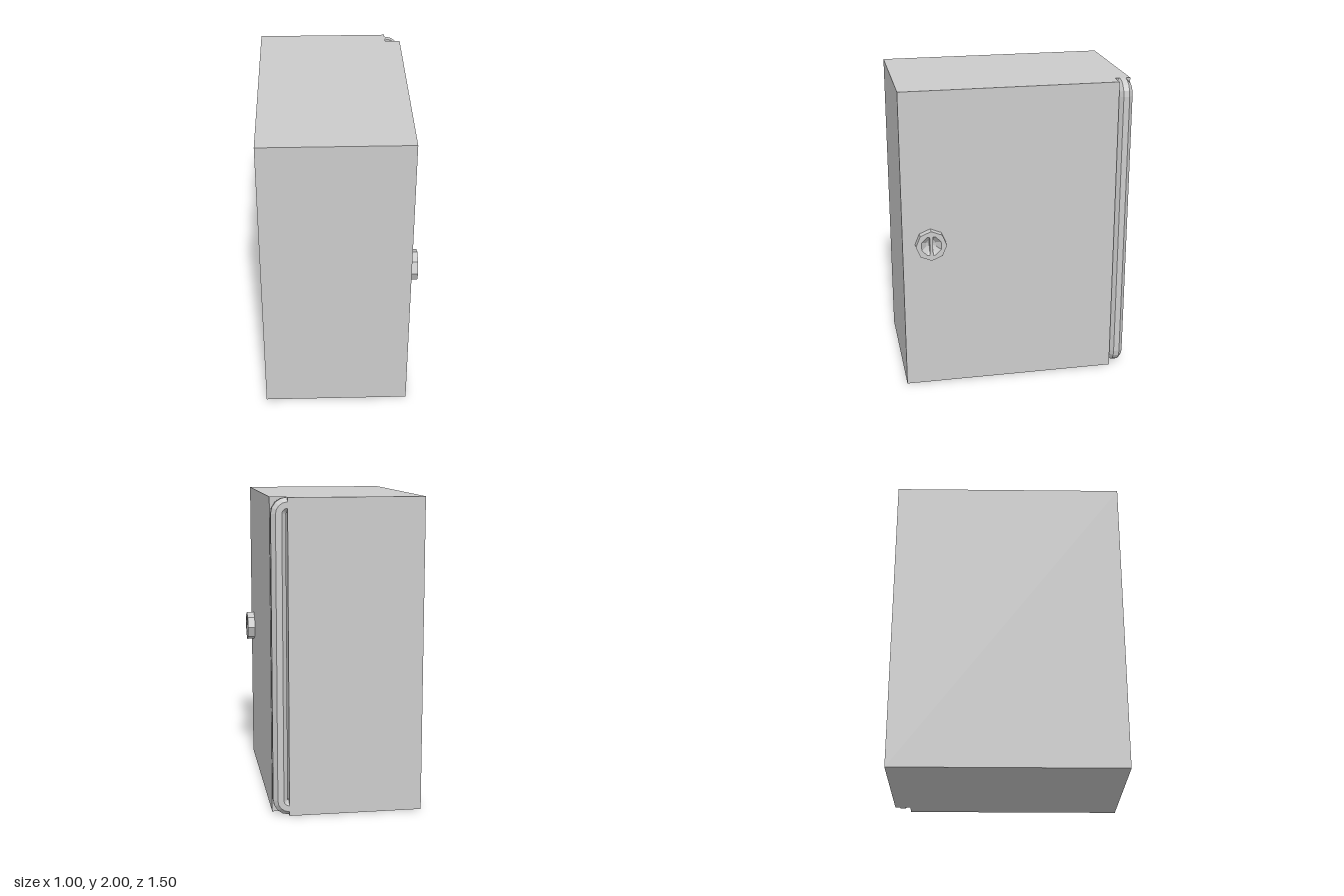
import * as THREE from 'three';

const material = new THREE.MeshStandardMaterial({ color: 0xcccccc, flatShading: true });
const thin = new THREE.MeshStandardMaterial({ color: 0xcccccc, flatShading: true, side: THREE.DoubleSide });

function add(group, name, geometry, x = 0, y = 0, z = 0, mat = material) {
  const mesh = new THREE.Mesh(geometry, mat);
  mesh.name = name;
  mesh.position.set(x, y, z);
  group.add(mesh);
  return mesh;
}

// Corners of a regular octagon, turned by an offset angle
function octagon(radius, offset) {
  return Array.from({ length: 8 }, (_, i) => {
    const a = offset + (i * Math.PI) / 4;
    return new THREE.Vector2(radius * Math.cos(a), radius * Math.sin(a));
  });
}

// Octagonal rod that runs down the corner and bends into the body at both ends
function hingeGeometry() {
  const section = octagon(0.05, Math.PI / 8);
  const bend = 0.054, steps = 4;
  const positions = [], indices = [];
  for (const [centreY, start] of [[1.9, Math.PI / 2], [0.1, 0]]) {
    for (let s = 0; s <= steps; s++) {
      const a = start - (s / steps) * (Math.PI / 2);
      for (const p of section) {
        const r = bend + p.x;
        positions.push(r * Math.cos(a), centreY + r * Math.sin(a), p.y);
      }
    }
  }
  const rings = positions.length / 24;
  for (let i = 0; i < rings - 1; i++) {
    for (let j = 0; j < 8; j++) {
      const a = i * 8 + j, b = i * 8 + ((j + 1) % 8);
      indices.push(a, b, a + 8, b, b + 8, a + 8);
    }
  }
  const geometry = new THREE.BufferGeometry();
  geometry.setAttribute('position', new THREE.Float32BufferAttribute(positions, 3));
  geometry.setIndex(indices);
  geometry.computeVertexNormals();
  return geometry;
}

// Octagonal lock ring with a faceted dish and an upright grip bar
function createLock() {
  const lock = new THREE.Group();
  lock.name = 'lock';
  const depth = 0.05, holeRadius = 0.068;

  const shape = new THREE.Shape(octagon(0.1, 0));
  shape.holes.push(new THREE.Path(octagon(holeRadius, Math.PI / 8)));
  const ring = new THREE.ExtrudeGeometry(shape, { depth, bevelEnabled: false });
  add(lock, 'lockRing', ring.rotateY(Math.PI / 2));

  const profile = [[0, 0.005], [0.035, 0.018], [holeRadius, depth]].map(([r, h]) => new THREE.Vector2(r, h));
  const dish = new THREE.LatheGeometry(profile, 8);
  dish.rotateY(Math.PI / 8).rotateZ(-Math.PI / 2);
  add(lock, 'lockDish', dish, 0, 0, 0, thin);

  add(lock, 'gripBar', new THREE.BoxGeometry(depth, 0.126, 0.02), depth / 2);
  return lock;
}

export function createModel() {
  const cabinet = new THREE.Group();
  cabinet.name = 'cabinet';

  // Body and side door, flush except for the open hinge corner
  add(cabinet, 'body', new THREE.BoxGeometry(0.85, 2, 1.5), -0.075, 1, 0);
  add(cabinet, 'door', new THREE.BoxGeometry(0.1, 2, 1.4), 0.4, 1, 0.05);

  add(cabinet, 'hinge', hingeGeometry(), 0.35, 0, -0.7);

  const lock = createLock();
  lock.position.set(0.45, 1, 0.57);
  cabinet.add(lock);
  return cabinet;
}
